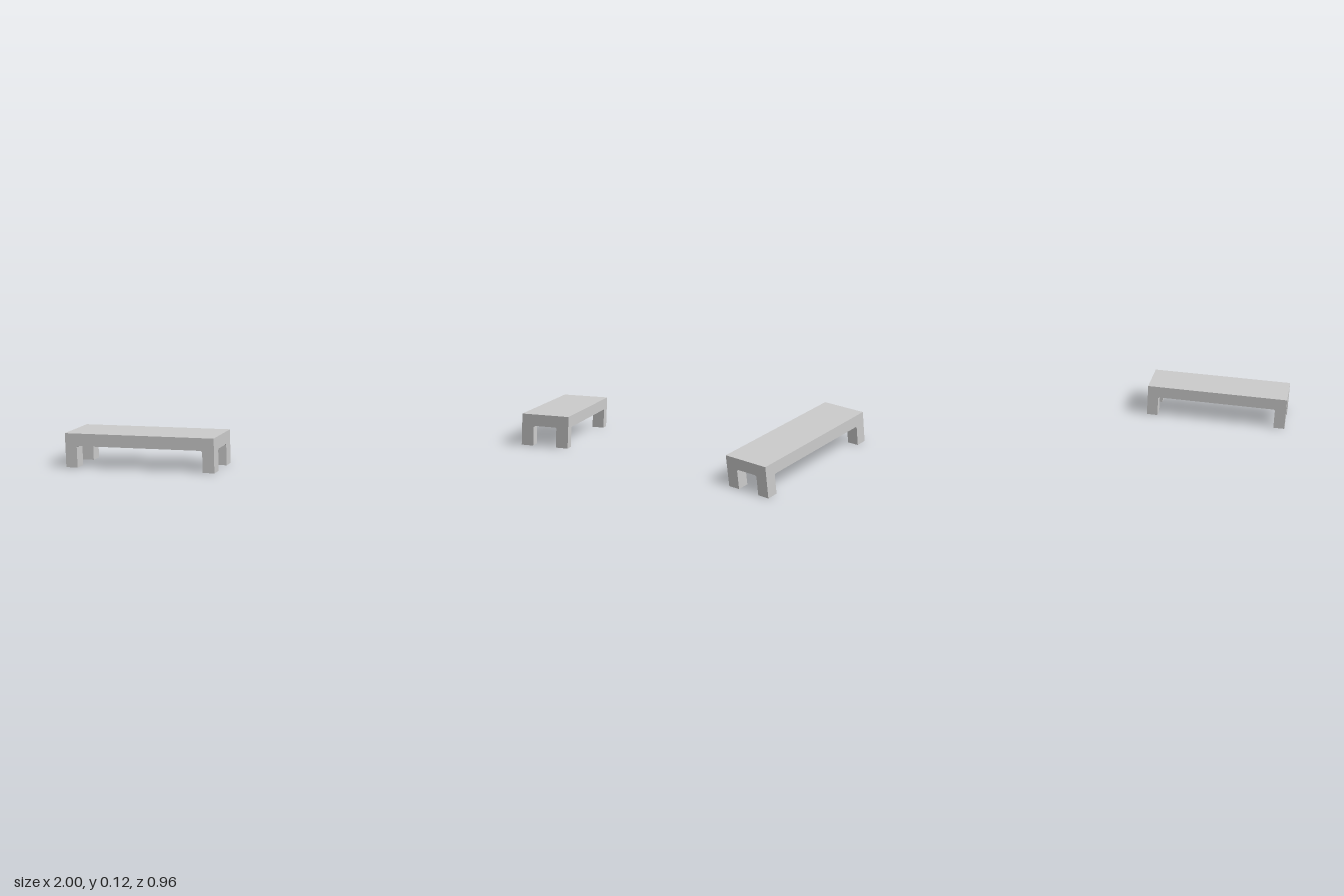
import * as THREE from 'three';

const LENGTH = 0.515, WIDTH = 0.173, HEIGHT = 0.115, UNDERSIDE = 0.073;
const LEG_X = 0.04, LEG_Z = 0.044, CHAMFER = 0.004;

const material = new THREE.MeshStandardMaterial({ color: 0xcccccc, flatShading: true });

// Square leg, flush with the seat outside, its two inner faces flaring at the top
function legGeometry(sx, sz) {
  const geo = new THREE.BoxGeometry(LEG_X, UNDERSIDE, LEG_Z, 1, 2, 1);
  geo.translate(0, UNDERSIDE / 2, 0);
  const p = geo.attributes.position;
  for (let i = 0; i < p.count; i++) {
    const y = p.getY(i);
    if (y > UNDERSIDE - 0.001) {
      if (p.getX(i) * sx < 0) p.setX(i, p.getX(i) - sx * CHAMFER);
      if (p.getZ(i) * sz < 0) p.setZ(i, p.getZ(i) - sz * CHAMFER);
    } else if (y > 0.001) {
      p.setY(i, UNDERSIDE - CHAMFER);
    }
  }
  geo.computeVertexNormals();
  return geo;
}

function createBench(name) {
  const bench = new THREE.Group();
  bench.name = name;

  // Seat slab
  const thickness = HEIGHT - UNDERSIDE;
  const seat = new THREE.Mesh(new THREE.BoxGeometry(LENGTH, thickness, WIDTH), material);
  seat.name = 'seat';
  seat.position.y = UNDERSIDE + thickness / 2;
  bench.add(seat);

  // Four corner legs
  for (const sx of [-1, 1]) {
    for (const sz of [-1, 1]) {
      const leg = new THREE.Mesh(legGeometry(sx, sz), material);
      leg.name = `${sz > 0 ? 'front' : 'back'}${sx > 0 ? 'Left' : 'Right'}Leg`;
      leg.position.set(sx * (LENGTH - LEG_X) / 2, 0, sz * (WIDTH - LEG_Z) / 2);
      bench.add(leg);
    }
  }
  return bench;
}

export function createModel() {
  const model = new THREE.Group();
  model.name = 'benches';

  // Two identical benches turned at different angles
  const right = createBench('rightBench');
  right.position.set(-0.77, 0, -0.227);
  right.rotation.y = THREE.MathUtils.degToRad(-50.5);

  const left = createBench('leftBench');
  left.position.set(0.728, 0, 0.295);
  left.rotation.y = THREE.MathUtils.degToRad(24.1);

  model.add(right, left);
  return model;
}
